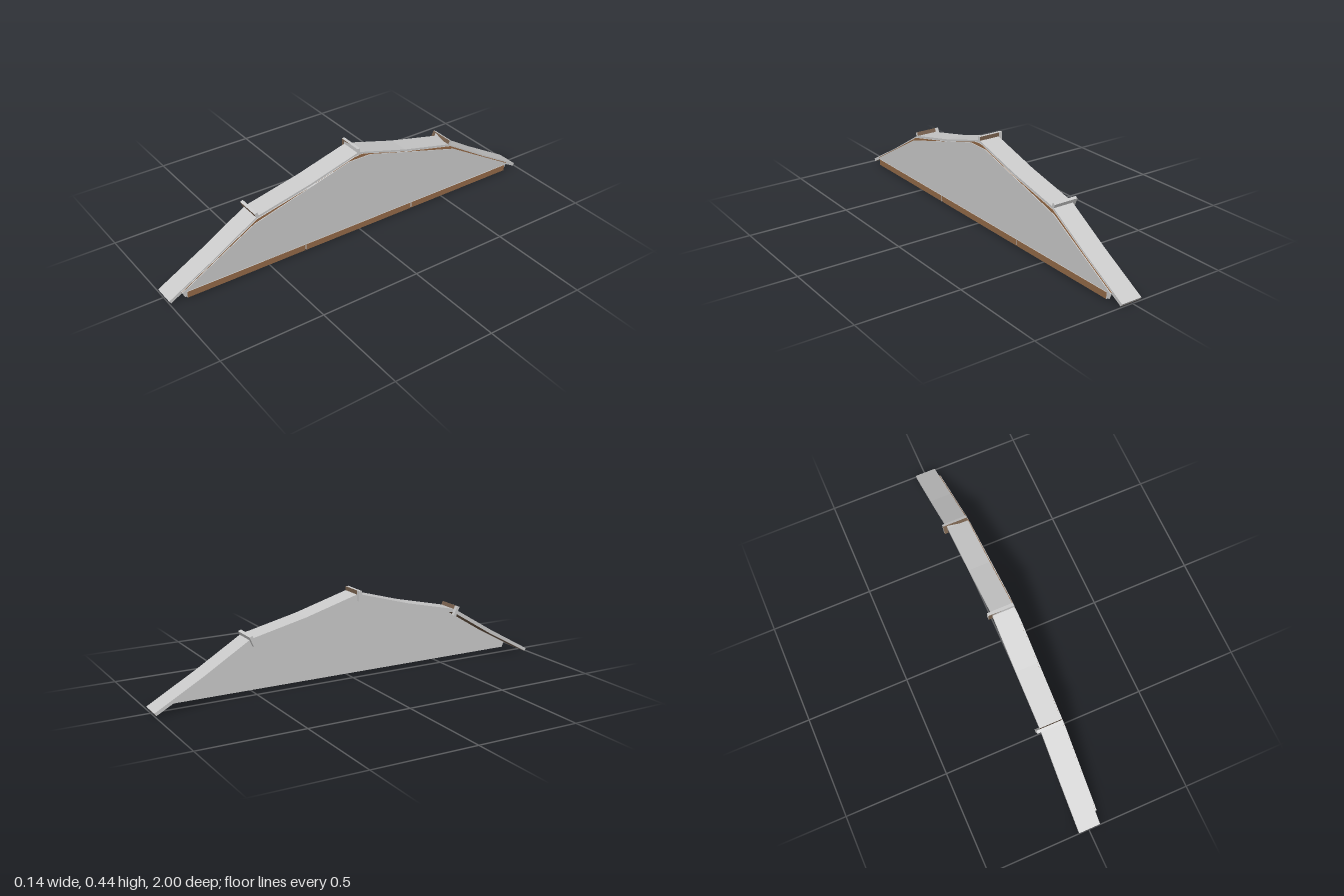
import * as THREE from 'three';

export function createModel() {
  const model = new THREE.Group();
  const grey = new THREE.MeshStandardMaterial({ name: 'weathered grey', color: 0xcbcbcb });
  const brown = new THREE.MeshStandardMaterial({ name: 'raw wood brown', color: 0x946a48 });
  const dark = new THREE.MeshStandardMaterial({ name: 'dull wood brown', color: 0x78614e });

  const add = (name, geometry, material, parent = model) => {
    const mesh = new THREE.Mesh(geometry, material);
    mesh.name = name;
    parent.add(mesh);
    return mesh;
  };

  // Extrudes a [z, y] outline from x0 to x1
  const slab = (points, x0, x1) => {
    const shape = new THREE.Shape(points.map(([z, y]) => new THREE.Vector2(-z, y)));
    const g = new THREE.ExtrudeGeometry(shape, { depth: x1 - x0, bevelEnabled: false });
    return g.rotateY(Math.PI / 2).translate(x0, 0, 0);
  };

  // Half profile from the ridge to the eave, mirrored front to back
  const flip = (half) => half.map(([z, y]) => [-z, y]);
  const mirror = (half) => [...half.slice().reverse(), ...flip(half.filter(([z]) => z > 0))];
  const band = (upper, lower) => [...mirror(upper), ...mirror(lower).reverse()];

  // Gently sagging roof strip, grey above and brown below
  const top = [[0, 0.418], [0.27, 0.341], [0.545, 0.278], [0.77, 0.142], [1, 0.013]];
  const middle = [[0, 0.403], [0.267, 0.326], [0.54, 0.264], [0.763, 0.128], [0.993, 0.002]];
  const under = [[0, 0.401], [0.266, 0.324], [0.539, 0.262], [0.762, 0.126], [0.992, 0]];
  add('roofStrip', slab(band(top, middle), -0.049, 0.056), grey);
  add('roofUnderside', slab(band(middle, under), -0.049, 0.056), [grey, dark]);

  // Gable sheet, with a brown backing edge peeping out above it
  const edge = [[0, 0.405], [0.03, 0.402], [0.27, 0.331], [0.55, 0.267], [0.77, 0.136], [0.94, 0.04]];
  const gable = [[0, 0.39], [0.06, 0.39], [0.565, 0.249], [0.94, 0.036]];
  const foot = [0.925, 0.005];
  add('gableBack', slab(mirror([...edge, foot]), 0.0561, 0.0585), grey);
  const halfEdge = [...edge, [0, 0.04]];
  add('gableEdgeFront', slab(halfEdge, 0.0586, 0.061), [brown, grey]);
  add('gableEdgeBack', slab(flip(halfEdge), 0.0586, 0.061), brown);
  add('gablePanel', slab(mirror(gable), 0.0611, 0.065), grey);

  // Three bottom boards with narrow gaps
  for (const z of [-0.613, 0, 0.613]) {
    const board = add('bottomBoard', new THREE.BoxGeometry(0.0095, 0.031, 0.608),
      [brown, grey, grey, grey, grey, grey]);
    board.position.set(0.0634, 0.0205, z);
  }

  // Joint caps: a bar across the strip, a lip over its far side, and a worn corner patch
  const caps = [
    ['frontCap', 0.545, 0.278, 0.4, dark, dark, grey,
      [[-0.05, -0.004], [-0.01, -0.004], [-0.05, 0.01]]],
    ['ridgeCap', 0, 0.417, 0, grey, dark, dark,
      [[-0.05, 0.011], [0, 0.018], [-0.05, 0.018]]],
    ['backCap', -0.545, 0.278, -0.4, dark, grey, grey,
      [[-0.05, -0.004], [0.03, -0.004], [-0.05, 0.014]]],
  ];
  for (const [name, z, y, tilt, front, back, patchColor, corner] of caps) {
    const cap = new THREE.Group();
    cap.name = name;
    cap.position.set(0, y, z);
    cap.rotation.x = tilt;
    const bar = new THREE.BoxGeometry(0.106, 0.023, 0.015).translate(0.003, 0.0065, 0);
    const lip = new THREE.BoxGeometry(0.019, 0.049, 0.015).translate(-0.0595, -0.0065, 0);
    const patch = new THREE.ShapeGeometry(
      new THREE.Shape(corner.map(([px, py]) => new THREE.Vector2(px, py)))).translate(0, 0, 0.0082);
    add('capBar', bar, [grey, grey, grey, dark, front, back], cap);
    add('capLip', lip, [dark, grey, grey, dark, dark, grey], cap);
    add('capPatch', patch, patchColor, cap);
    model.add(cap);
  }
  return model;
}
